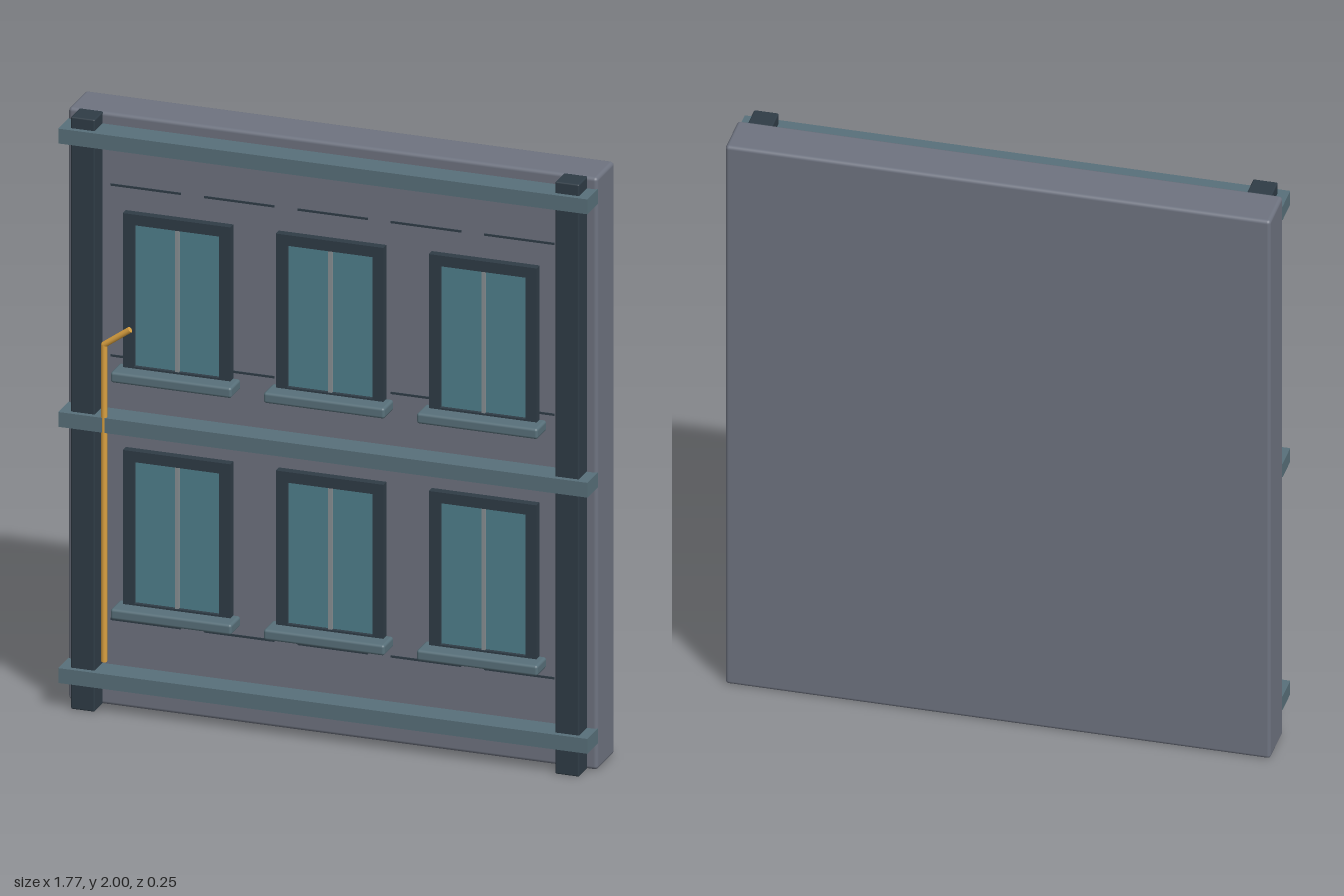
import * as THREE from 'three';
import { RoundedBoxGeometry } from 'three/addons/geometries/RoundedBoxGeometry.js';

const mat = (color) => new THREE.MeshStandardMaterial({ color });
const WALL = mat(0x6e7380), DARK = mat(0x2f3c46), TRIM = mat(0x58707a);
const GLASS = mat(0x50808c), METAL = mat(0x899094), PIPE = mat(0xd9a040);
const FACE = 0.035; // z of the wall's front face

export function createModel() {
  const model = new THREE.Group();
  model.name = 'facadePanel';

  // Box given by its x, y centre, size and z range; radius rounds the edges
  function box(parent, name, material, x, y, w, h, z0, z1, radius = 0) {
    const d = z1 - z0;
    const geometry = radius
      ? new RoundedBoxGeometry(w, h, d, 3, radius)
      : new THREE.BoxGeometry(w, h, d);
    const mesh = new THREE.Mesh(geometry, material);
    mesh.name = name;
    mesh.position.set(x, y, (z0 + z1) / 2);
    parent.add(mesh);
    return mesh;
  }

  // Wall slab
  box(model, 'wall', WALL, 0, 1, 1.77, 2, -0.125, FACE, 0.012);

  // Pilasters at both sides
  for (const side of [-1, 1])
    box(model, side < 0 ? 'rightPilaster' : 'leftPilaster', DARK, side * 0.81, 1, 0.08, 2, FACE - 0.01, 0.107, 0.005);

  // Horizontal bands
  for (const y of [0.115, 0.98, 1.937])
    box(model, 'band', TRIM, 0, y, 1.77, 0.05, FACE - 0.005, 0.125);

  // Dashed joint lines
  for (const y of [0.293, 1.183, 1.76])
    for (let i = -2; i <= 2; i++)
      box(model, 'jointLine', DARK, i * 0.3125, y, 0.235, 0.007, FACE - 0.005, FACE + 0.003);

  // Window frame: outline with a rectangular opening
  const rect = (path, w, h) => path
    .moveTo(-w / 2, -h / 2).lineTo(w / 2, -h / 2)
    .lineTo(w / 2, h / 2).lineTo(-w / 2, h / 2).closePath();
  const outline = rect(new THREE.Shape(), 0.36, 0.55);
  outline.holes.push(rect(new THREE.Path(), 0.285, 0.478));
  const frameGeometry = new THREE.ExtrudeGeometry(outline, { depth: 0.03, bevelEnabled: false });

  // Windows in two rows of three
  for (const y of [0.605, 1.405])
    for (const x of [-0.512, 0, 0.512]) {
      const unit = new THREE.Group();
      unit.name = 'window';
      unit.position.set(x, y, 0);
      const frame = new THREE.Mesh(frameGeometry, DARK);
      frame.name = 'windowFrame';
      frame.position.z = FACE - 0.002;
      unit.add(frame);
      box(unit, 'glass', GLASS, 0, 0, 0.285, 0.48, FACE - 0.005, 0.05);
      box(unit, 'mullion', METAL, 0, 0, 0.012, 0.478, 0.045, 0.06);
      box(unit, 'sill', TRIM, 0, -0.263, 0.405, 0.036, FACE - 0.005, 0.118, 0.009);
      model.add(unit);
    }

  // Bent drain pipe
  const pipe = new THREE.Group();
  pipe.name = 'drainPipe';
  const points = [[-0.735, 0.18], [-0.735, 1.25], [-0.648, 1.312]]
    .map(([x, y]) => new THREE.Vector3(x, y, 0.116));
  for (let i = 0; i < 2; i++) {
    const along = points[i + 1].clone().sub(points[i]);
    const mesh = new THREE.Mesh(new THREE.CylinderGeometry(0.01, 0.01, along.length(), 12), PIPE);
    mesh.name = i ? 'pipeSpout' : 'pipeRiser';
    mesh.position.copy(points[i]).addScaledVector(along, 0.5);
    mesh.quaternion.setFromUnitVectors(new THREE.Vector3(0, 1, 0), along.normalize());
    pipe.add(mesh);
  }
  const elbow = new THREE.Mesh(new THREE.SphereGeometry(0.01, 12, 8), PIPE);
  elbow.name = 'pipeElbow';
  elbow.position.copy(points[1]);
  pipe.add(elbow);
  model.add(pipe);

  return model;
}
